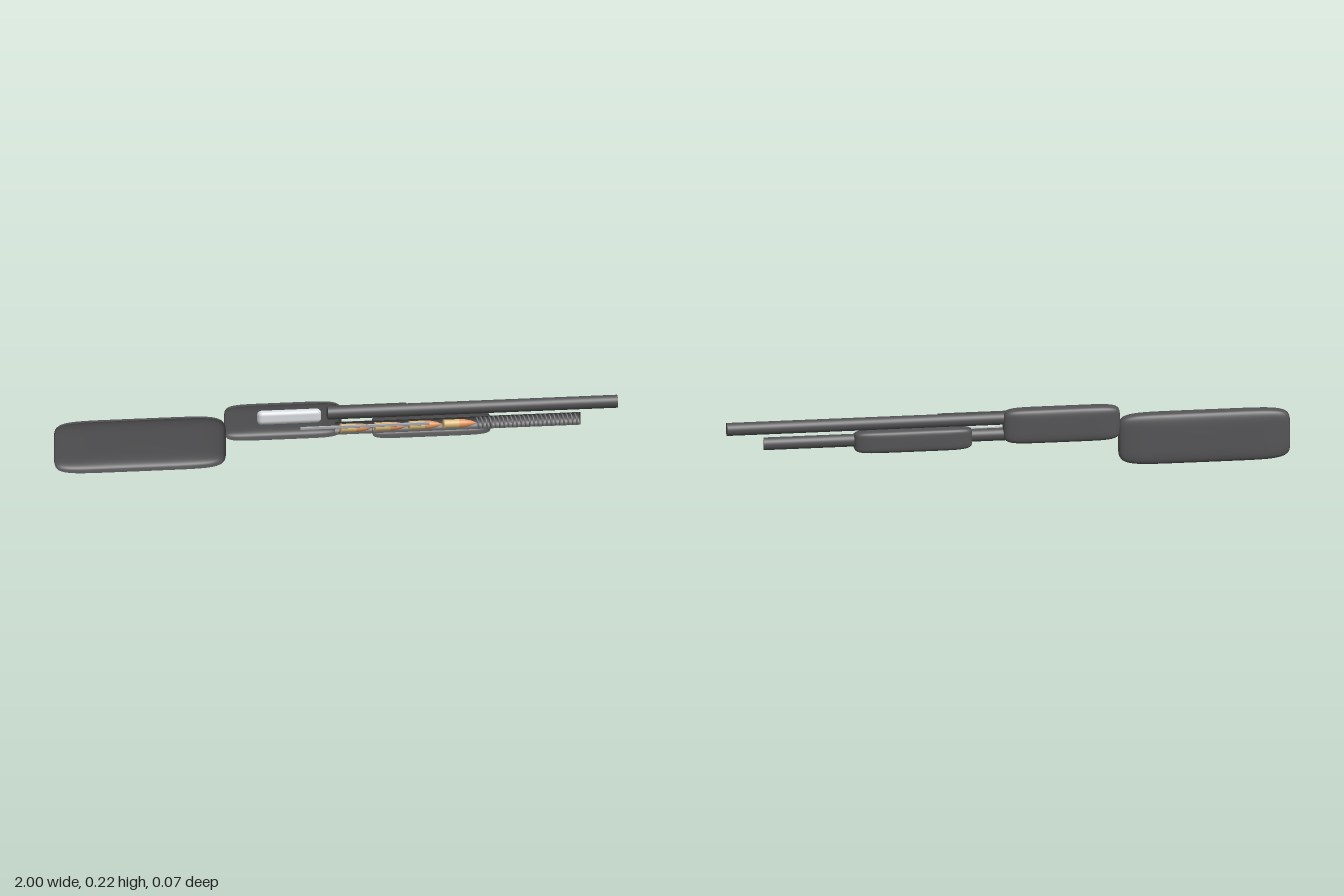
import * as THREE from 'three';
import { RoundedBoxGeometry } from 'three/addons/geometries/RoundedBoxGeometry.js';

const CUT = 0.008; // z of the open cutaway face
const AXIS_Y = 0.13; // height of the magazine axis

function material(name, color, side = THREE.FrontSide) {
  const m = new THREE.MeshStandardMaterial({ color, side });
  m.name = name;
  return m;
}

// Open half shell: super-elliptic outline that shrinks towards the closed back
function halfShell(x0, x1, y0, y1, back) {
  const a = (x1 - x0) / 2, b = (y1 - y0) / 2, N = 64, R = 14, pos = [], idx = [];
  const pow = (v, p) => Math.sign(v) * Math.abs(v) ** p;
  for (let j = 0; j <= R; j++) {
    const u = (j / R) * Math.PI / 2;
    const s = j === R ? 0 : Math.cos(u) ** 0.4, depth = Math.sin(u) ** 0.4;
    for (let i = 0; i < N; i++) {
      const t = (i / N) * Math.PI * 2;
      pos.push((x0 + x1) / 2 + a * s * pow(Math.cos(t), 0.3),
        (y0 + y1) / 2 + b * s * pow(Math.sin(t), 0.3),
        CUT + (back - CUT) * depth);
      if (j < R) {
        const p = j * N + i, q = j * N + (i + 1) % N;
        idx.push(p, p + N, q, q, p + N, q + N);
      }
    }
  }
  const g = new THREE.BufferGeometry();
  g.setAttribute('position', new THREE.Float32BufferAttribute(pos, 3));
  g.setIndex(idx);
  g.computeVertexNormals();
  return g;
}

// Profile of [x, radius] points turned about the x axis
function turned(points, segments = 24) {
  const g = new THREE.LatheGeometry(points.map(([x, r]) => new THREE.Vector2(r, x)), segments);
  return g.rotateZ(-Math.PI / 2);
}

export function createModel() {
  const root = new THREE.Group();
  const shellDark = material('charcoal', 0x545456, THREE.DoubleSide);
  const steelDark = material('dark steel', 0x525254);
  const springGrey = material('spring grey', 0x77777a);
  const boltGrey = material('light steel', 0xd6d9dc);
  const barGrey = material('bar grey', 0xa6a7aa);
  const brass = material('brass', 0xdcb977);
  const copper = material('copper', 0xe0955c);
  const add = (name, geometry, mat, x = 0, y = 0, z = 0, parent = root) => {
    const m = new THREE.Mesh(geometry, mat);
    m.name = name;
    m.position.set(x, y, z);
    parent.add(m);
  };

  // Cutaway body shells
  add('stock', halfShell(-1, -0.39, 0.002, 0.19, -0.034), shellDark);
  add('receiver', halfShell(-0.395, 0.02, 0.098, 0.226, -0.035), shellDark);
  add('forend', halfShell(0.13, 0.55, 0.086, 0.168, -0.037), shellDark);

  // Barrel with a low rib near the receiver
  add('barrel', new THREE.CylinderGeometry(0.023, 0.023, 1.03, 32).rotateZ(Math.PI / 2),
    steelDark, 0.485, 0.188, CUT);
  add('barrelRib', new THREE.BoxGeometry(0.25, 0.006, 0.008), steelDark, 0.125, 0.211, CUT);

  // Magazine tube, rear half only, closed by a half disc at the muzzle end
  const tube = new THREE.CylinderGeometry(0.023, 0.023, 0.87, 24, 1, true, Math.PI / 2, Math.PI);
  add('magazineTube', tube.rotateZ(-Math.PI / 2), shellDark, 0.435, AXIS_Y, CUT);
  const disc = new THREE.CircleGeometry(0.023, 24, 0, Math.PI).rotateZ(-Math.PI / 2);
  add('magazineEnd', disc.rotateY(Math.PI / 2), shellDark, 0.869, AXIS_Y, CUT);

  // Four cartridges in a row, noses forward
  for (let i = 0; i < 4; i++) {
    const cartridge = new THREE.Group();
    cartridge.name = 'cartridge' + (i + 1);
    cartridge.position.set(0.015 + i * 0.122, AXIS_Y, CUT);
    root.add(cartridge);
    add('case', turned([[0, 0], [0, 0.0165], [0.006, 0.0165], [0.008, 0.015], [0.056, 0.0155]]),
      brass, 0, 0, 0, cartridge);
    add('bullet', turned([[0.056, 0.0155], [0.075, 0.0145], [0.1, 0.009], [0.12, 0]]),
      copper, 0, 0, 0, cartridge);
  }

  // Coil spring ahead of the cartridges
  const coils = 24, coil = [];
  for (let i = 0; i <= coils * 12; i++) {
    const t = (i / 12) * Math.PI * 2;
    coil.push(new THREE.Vector3(0.5 + 0.365 * i / (coils * 12),
      AXIS_Y + 0.0185 * Math.cos(t), CUT + 0.0185 * Math.sin(t)));
  }
  add('magazineSpring', new THREE.TubeGeometry(new THREE.CatmullRomCurve3(coil), coils * 14, 0.003, 6),
    springGrey);

  // Bolt and action bar
  add('bolt', new RoundedBoxGeometry(0.228, 0.05, 0.034, 6, 0.0165), boltGrey, -0.167, 0.183, 0.015);
  add('actionBar', new RoundedBoxGeometry(0.46, 0.011, 0.006, 2, 0.002), barGrey, 0.1, 0.143, 0.034);

  return root;
}
